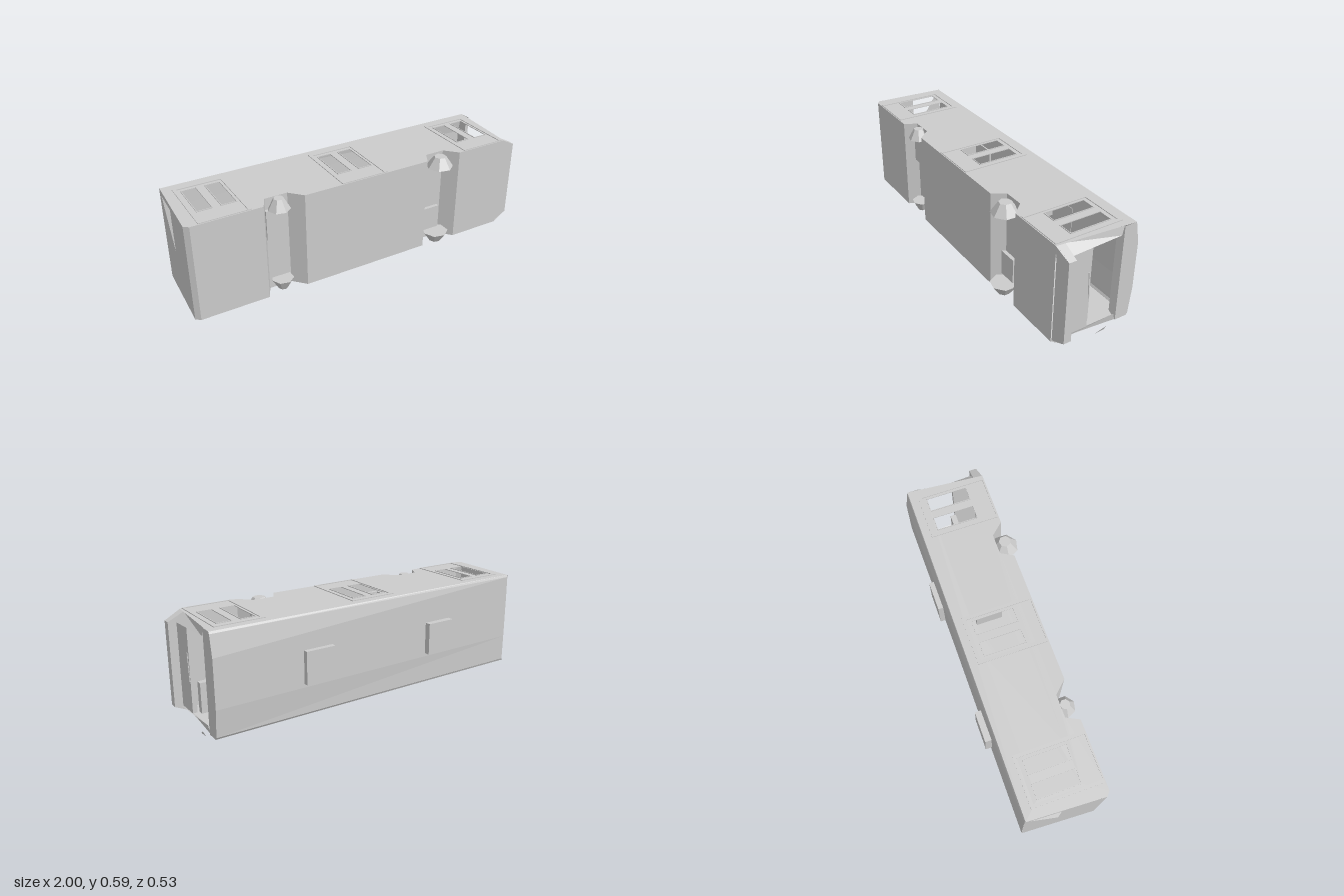
import * as THREE from 'three';

export function createModel() {
  const model = new THREE.Group();
  model.name = 'busOnItsSide';
  const grey = new THREE.MeshStandardMaterial({ color: 0xcccccc, side: THREE.DoubleSide, flatShading: true });
  grey.name = 'plain grey';

  const LOW = 0.04, HIGH = 0.585; // the two side walls
  const add = (name, geometry, parent = model) => {
    const mesh = new THREE.Mesh(geometry, grey);
    mesh.name = name;
    parent.add(mesh);
    return mesh;
  };
  const box = (name, [x0, x1], [y0, y1], [z0, z1], parent) => {
    const mesh = add(name, new THREE.BoxGeometry(x1 - x0, y1 - y0, z1 - z0), parent);
    mesh.position.set((x0 + x1) / 2, (y0 + y1) / 2, (z0 + z1) / 2);
    return mesh;
  };
  const rect = (u0, u1, v0, v1) => [[u0, v0], [u1, v0], [u1, v1], [u0, v1]];
  const vectors = (pts) => pts.map(([u, v]) => new THREE.Vector2(u, v));
  const shapeOf = (outline, holes = []) => {
    const shape = new THREE.Shape(vectors(outline));
    shape.holes = holes.map((h) => new THREE.Path(vectors(h)));
    return shape;
  };
  // Flat sheet whose outline (u, v) is placed in space by a rule
  const sheet = (name, outline, holes, place, parent) => {
    const geometry = new THREE.ShapeGeometry(shapeOf(outline, holes));
    const p = geometry.attributes.position;
    for (let i = 0; i < p.count; i++) p.setXYZ(i, ...place(p.getX(i), p.getY(i)));
    const flat = geometry.toNonIndexed();
    flat.computeVertexNormals();
    return add(name, flat, parent);
  };
  // Skin between two rows of matching points
  const skin = (name, rowA, rowB, parent) => {
    const v = [];
    for (let i = 0; i < rowA.length - 1; i++) {
      const [a, b, c, d] = [rowA[i], rowA[i + 1], rowB[i + 1], rowB[i]];
      v.push(...a, ...b, ...c, ...a, ...c, ...d);
    }
    const geometry = new THREE.BufferGeometry();
    geometry.setAttribute('position', new THREE.Float32BufferAttribute(v, 3));
    geometry.computeVertexNormals();
    return add(name, geometry, parent);
  };

  // Underside profile (x, z) with two wheel recesses
  const under = [
    [-1, 0.195], [-0.975, 0.215],
    [-0.6, 0.215], [-0.565, 0.145], [-0.44, 0.145], [-0.375, 0.215],
    [0.375, 0.215], [0.415, 0.145], [0.53, 0.145], [0.595, 0.215],
    [0.915, 0.215],
  ];
  skin('underside', under.map(([x, z]) => [x, HIGH, z]), under.map(([x, z]) => [x, LOW, z]));

  // Side walls: the upper one has window openings in its doors
  const wall = [[-0.98, -0.22], ...under, [0.95, -0.22]];
  const doorCentres = [-0.795, -0.0175, 0.7675];
  const panes = doorCentres.flatMap((c) => [-1, 1].map((s) =>
    rect(c + s * 0.063 - 0.039, c + s * 0.063 + 0.039, -0.13, 0.1)));
  sheet('doorSideWall', wall, panes, (x, z) => [x, HIGH, z]);
  sheet('plainSideWall', wall, [], (x, z) => [x, LOW, z]);

  // Roof: flat at the rear, arched towards the front
  const archY = [HIGH, HIGH - 0.012, 0.46, 0.2, LOW + 0.012, LOW];
  const frontArch = [-0.215, -0.223, -0.242, -0.242, -0.228, -0.22];
  const rearArch = [-0.22, -0.225, -0.226, -0.226, -0.225, -0.22];
  skin('roof', archY.map((y, i) => [-0.98, y, rearArch[i]]), archY.map((y, i) => [0.95, y, frontArch[i]]));

  // Rear wall leaning with the body, with a three-cornered opening
  sheet('rearWall', rect(-0.225, 0.195, LOW, HIGH), [[[-0.195, 0.555], [-0.035, 0.31], [-0.035, 0.555]]],
    (z, y) => [-1 + 0.02 * (0.195 - z) / 0.42, y, z]);

  // Door frames and the raised rim round every pane
  doorCentres.forEach((c) => {
    const door = new THREE.Group();
    door.name = 'door';
    model.add(door);
    const rim = (name, outer, inner) => {
      const geometry = new THREE.ExtrudeGeometry(shapeOf(outer, [inner]), { depth: 0.004, bevelEnabled: false });
      geometry.rotateX(Math.PI / 2);
      add(name, geometry, door).position.y = HIGH + 0.004;
    };
    rim('doorFrame', rect(c - 0.137, c + 0.137, -0.175, 0.21), rect(c - 0.118, c + 0.118, -0.156, 0.205));
    [-1, 1].forEach((s) => {
      const m = c + s * 0.063;
      rim('paneRim', rect(m - 0.042, m + 0.042, -0.133, 0.103), rect(m - 0.038, m + 0.038, -0.129, 0.099));
    });
  });

  // Roof hatches
  [[-0.51, -0.34, -0.222], [0.29, 0.46, -0.235]].forEach(([a, b, base]) =>
    box('roofHatch', [a, b], [0.22, 0.4], [-0.265, base]));

  // Front bumper with cut corners
  const bumper = new THREE.ExtrudeGeometry(
    shapeOf([[0.91, LOW], [1, 0.083], [1, 0.54], [0.91, HIGH]]),
    { depth: 0.042, bevelEnabled: false });
  add('bumper', bumper).position.z = 0.163;
  skin('bumperLip',
    [[0.91, LOW, 0.215], [0.998, 0.083, 0.205], [0.998, 0.54, 0.205], [0.91, HIGH, 0.215]],
    [[0.91, LOW, 0.204], [1, 0.083, 0.204], [1, 0.54, 0.204], [0.91, HIGH, 0.204]]);

  // Front face: lower panel, slanted posts, header and visor
  const front = new THREE.Group();
  front.name = 'frontFace';
  model.add(front);
  box('lowerPanel', [0.93, 0.955], [0.083, 0.54], [0.036, 0.165], front);
  [[HIGH, 0.54], [LOW, 0.083]].forEach(([outer, inner]) =>
    skin('cornerPost',
      [[0.915, outer, 0.165], [0.945, outer, -0.15]],
      [[0.965, inner, 0.165], [0.95, inner, -0.135]], front));
  skin('header', [[0.95, LOW, -0.15], [0.95, HIGH, -0.15]], [[0.915, 0.083, -0.135], [0.915, 0.54, -0.135]], front);
  sheet('visor', [[LOW, -0.15], [HIGH, -0.15], ...archY.map((y, i) => [y, frontArch[i]])], [],
    (y, z) => [0.95, y, z], front);

  // Wheels: rough tapered stubs in both recesses, mirrored across the bus
  [[-0.5, 0.17, 0.06], [0.475, 0.195, 0.075]].forEach(([x, z, r]) => [1, -1].forEach((s) => {
    const wheel = add('wheel', new THREE.CylinderGeometry(r * 0.45, r, 0.06, 7));
    wheel.position.set(x, (LOW + HIGH) / 2 + s * 0.241, z);
    if (s < 0) wheel.rotation.x = Math.PI;
    wheel.rotation.y = 0.22;
  }));
  box('axleBlock', [-0.57, -0.46], [0.35, 0.52], [0.13, 0.165]);
  box('axleBlock', [0.4, 0.51], [0.105, 0.245], [0.13, 0.165]);

  // Cabin: dashboard, steering column and seats
  box('dashboard', [0.84, 0.92], [0.085, 0.25], [0.003, 0.036]);
  const column = add('steeringColumn', new THREE.CylinderGeometry(0.003, 0.003, 0.15, 5));
  column.position.set(0.957, 0.33, 0.045);
  column.rotation.x = 0.06;
  for (const x of [-0.55, -0.25, 0.25, 0.5]) {
    [[0.45, 0.53], [0.23, 0.315], [0.085, 0.205]].forEach(([y0, y1]) => {
      box('seatBack', [x, x + 0.02], [y0, y1], [-0.06, 0.1]);
      box('seatBase', [x, x + 0.08], [y0, y1], [0.08, 0.1]);
    });
  }

  // Loose mirror shard beside the front corner
  skin('mirror', [[0.945, 0, -0.032], [0.945, 0.003, -0.088]], [[0.945, 0, -0.032], [0.96, 0.035, -0.088]]);
  return model;
}
